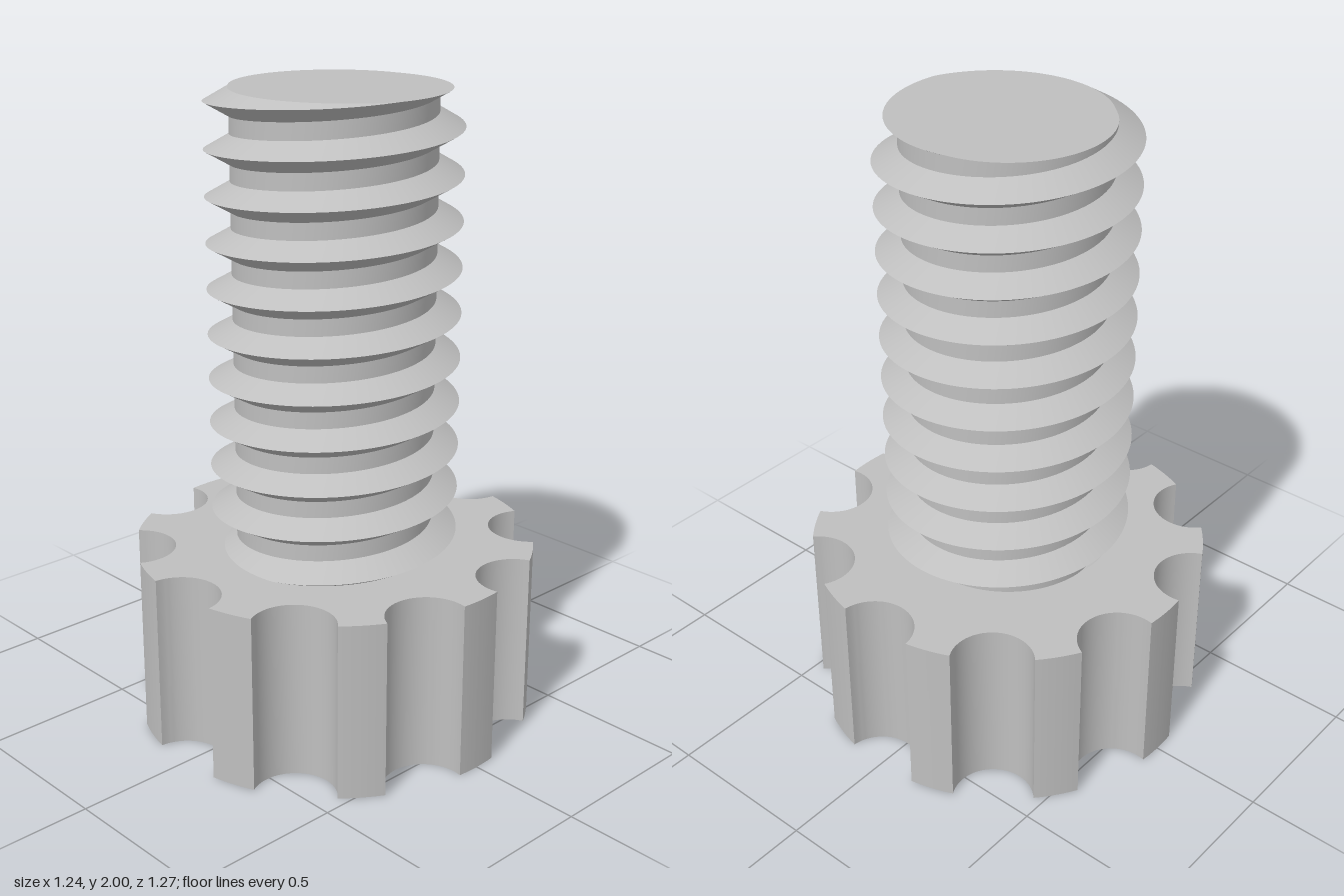
import * as THREE from 'three';
import { toCreasedNormals } from 'three/addons/utils/BufferGeometryUtils.js';

const HEAD_R = 0.633, HEAD_H = 0.565, LOBES = 10;
const SCALLOP_C = 0.632, SCALLOP_R = 0.127;
const TOP = 2, BOTTOM = HEAD_H - 0.005;
const CORE = 0.31, DEPTH = 0.077, HALF = 0.0445, PITCH = 0.1413, CREST = 1.865;
const SEGMENTS = 96;

// Round head with scalloped grips around its rim
function headGeometry() {
  const half = Math.acos((HEAD_R ** 2 + SCALLOP_C ** 2 - SCALLOP_R ** 2) / (2 * HEAD_R * SCALLOP_C));
  const beta = Math.atan2(HEAD_R * Math.sin(half), HEAD_R * Math.cos(half) - SCALLOP_C);
  const step = (Math.PI * 2) / LOBES;
  const shape = new THREE.Shape();
  for (let i = 0; i < LOBES; i++) {
    const t = i * step;
    shape.absarc(SCALLOP_C * Math.cos(t), SCALLOP_C * Math.sin(t), SCALLOP_R, t - beta, t + beta, true);
    shape.absarc(0, 0, HEAD_R, t + half, t + step - half, false);
  }
  const geo = new THREE.ExtrudeGeometry(shape, { depth: HEAD_H, bevelEnabled: false, curveSegments: 18 });
  geo.rotateX(-Math.PI / 2);
  return toCreasedNormals(geo, 0.4);
}

// Shaft radius at a given angle (from +z towards +x) and height
function shaftRadius(a, y) {
  const turns = (y - CREST) / PITCH - a / (Math.PI * 2);
  const d = Math.abs(turns - Math.round(turns)) * PITCH;
  return CORE + DEPTH * Math.max(0, 1 - d / HALF);
}

function shaftPoint(a, y) {
  const r = shaftRadius(a, y);
  return [r * Math.sin(a), y, r * Math.cos(a)];
}

// Threaded shaft: helical strips trimmed flat at both ends, with an end face
function shaftGeometry() {
  const positions = [];
  const trim = (y) => Math.min(TOP, Math.max(BOTTOM, y));

  // Lower root, crest and upper root of every turn
  const rows = [];
  for (let k = -11; k <= 2; k++) {
    for (const off of [-HALF, 0, HALF]) rows.push(CREST + k * PITCH + off);
  }

  for (let i = 0; i < SEGMENTS; i++) {
    const a0 = (i / SEGMENTS) * Math.PI * 2;
    const a1 = ((i + 1) / SEGMENTS) * Math.PI * 2;
    const rise0 = (PITCH * i) / SEGMENTS;
    const rise1 = (PITCH * (i + 1)) / SEGMENTS;
    for (let j = 0; j < rows.length - 1; j++) {
      const y00 = trim(rows[j] + rise0), y10 = trim(rows[j] + rise1);
      const y01 = trim(rows[j + 1] + rise0), y11 = trim(rows[j + 1] + rise1);
      const p00 = shaftPoint(a0, y00), p10 = shaftPoint(a1, y10);
      const p01 = shaftPoint(a0, y01), p11 = shaftPoint(a1, y11);
      if (y11 > y10) positions.push(...p00, ...p10, ...p11);
      if (y01 > y00) positions.push(...p00, ...p11, ...p01);
    }
    positions.push(0, TOP, 0, ...shaftPoint(a0, TOP), ...shaftPoint(a1, TOP));
  }

  const geo = new THREE.BufferGeometry();
  geo.setAttribute('position', new THREE.Float32BufferAttribute(positions, 3));
  return toCreasedNormals(geo, 0.4);
}

export function createModel() {
  const steel = new THREE.MeshStandardMaterial({ color: 0xbfbfbf });
  steel.name = 'steel grey';

  const head = new THREE.Mesh(headGeometry(), steel);
  head.name = 'scallopedHead';

  const shaft = new THREE.Mesh(shaftGeometry(), steel);
  shaft.name = 'threadedShaft';

  const model = new THREE.Group();
  model.name = 'thumbScrew';
  model.add(head, shaft);
  return model;
}
